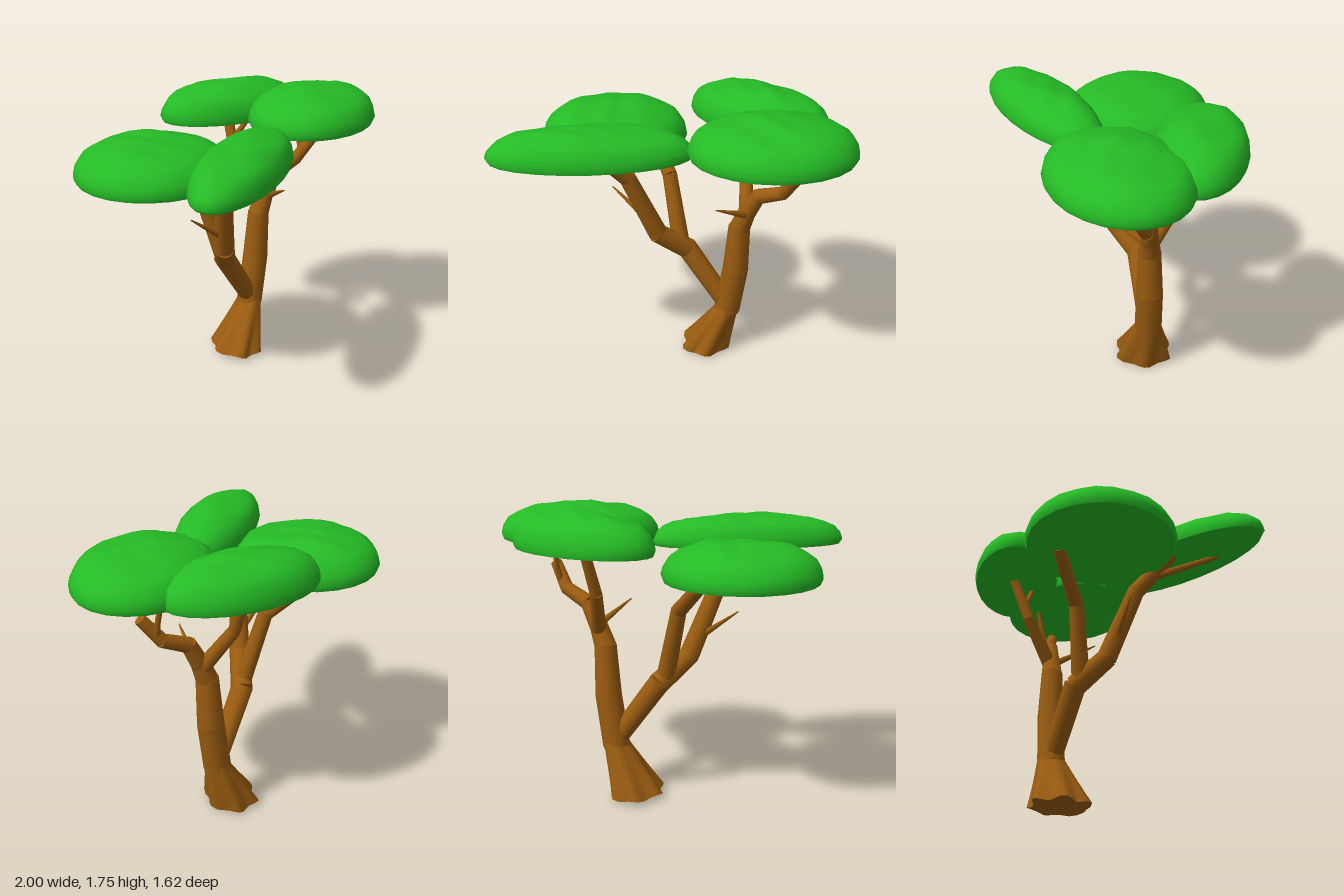
import * as THREE from 'three';
import { mergeVertices } from 'three/addons/utils/BufferGeometryUtils.js';

const bark = new THREE.MeshStandardMaterial({ color: 0x9a5c10 });
bark.name = 'bark brown';
const leaf = new THREE.MeshStandardMaterial({ color: 0x25bb25 });
leaf.name = 'leaf green';

const UP = new THREE.Vector3(0, 1, 0);

// Jointed limb: points are [x, y, z, radius], one tapered cylinder per span
function limb(name, points, sides = 12) {
  const group = new THREE.Group();
  group.name = name;
  for (let i = 0; i < points.length - 1; i++) {
    const [p, q] = [points[i], points[i + 1]];
    const a = new THREE.Vector3(p[0], p[1], p[2]);
    const b = new THREE.Vector3(q[0], q[1], q[2]);
    const dir = b.clone().sub(a);
    const length = dir.length();
    dir.normalize();
    const overlap = i < points.length - 2 ? q[3] * 0.25 : 0;
    const mesh = new THREE.Mesh(new THREE.CylinderGeometry(q[3], p[3], length + overlap, sides), bark);
    mesh.name = name + 'Segment' + (i + 1);
    mesh.position.copy(a).addScaledVector(dir, (length + overlap) / 2);
    mesh.quaternion.setFromUnitVectors(UP, dir);
    group.add(mesh);
  }
  return group;
}

// Flared, ribbed foot that leans into the trunk
function rootFlare() {
  const geo = new THREE.CylinderGeometry(1, 1, 1, 30, 4);
  const pos = geo.attributes.position;
  for (let i = 0; i < pos.count; i++) {
    const x = pos.getX(i), z = pos.getZ(i), t = pos.getY(i) + 0.5;
    const angle = Math.atan2(z, x), r = Math.hypot(x, z);
    const rib = 1 + 0.13 * (1 - t) * Math.cos(6 * angle + 0.6);
    const rx = THREE.MathUtils.lerp(0.145, 0.07, t) * rib;
    const rz = THREE.MathUtils.lerp(0.172, 0.083, t) * rib;
    const ragged = (1 - t) * (0.02 - 0.012 * x + 0.01 * r * Math.cos(6 * angle));
    pos.setXYZ(i, THREE.MathUtils.lerp(0.065, 0.2, t) + x * rx,
      t * 0.34 + ragged, THREE.MathUtils.lerp(-0.25, -0.285, t) + z * rz);
  }
  geo.computeVertexNormals();
  const mesh = new THREE.Mesh(geo, bark);
  mesh.name = 'rootFlare';
  return mesh;
}

// Bumpy flat-bottomed leaf dome; turn is the heading of its long axis
function canopy(name, x, y, z, rx, rz, height, turn, seed) {
  const group = new THREE.Group();
  group.name = name;
  const sides = 24;
  const profile = [[0.97, 0], [1, 0.14], [0.975, 0.34], [0.91, 0.56], [0.8, 0.72], [0.64, 0.83],
    [0.47, 0.9], [0.3, 0.95], [0.15, 0.97], [0, 0.98]].map(([r, h]) => new THREE.Vector2(r, h));
  let dome = new THREE.LatheGeometry(profile, sides);
  dome.deleteAttribute('normal');
  dome.deleteAttribute('uv');
  dome = mergeVertices(dome, 1e-4);
  const pos = dome.attributes.position;
  for (let i = 0; i < pos.count; i++) {
    const px = pos.getX(i), py = pos.getY(i), pz = pos.getZ(i);
    const bump = Math.sin(px * 5.3 + seed) * Math.cos(pz * 4.7 + seed * 2)
      + 0.6 * Math.sin(px * 11 - pz * 8 + seed * 3);
    pos.setXYZ(i, px * rx, (py + 0.06 * bump * py * py) * height, pz * rz);
  }
  dome.computeVertexNormals();
  const crown = new THREE.Mesh(dome, leaf);
  crown.name = name + 'Dome';

  const base = new THREE.Mesh(new THREE.CircleGeometry(0.97, sides), leaf);
  base.name = name + 'Underside';
  base.rotation.x = Math.PI / 2;
  base.scale.set(rx, rz, 1);

  group.add(crown, base);
  group.position.set(x, y, z);
  group.rotation.y = turn;
  return group;
}

export function createModel() {
  const tree = new THREE.Group();
  tree.name = 'tree';

  // Trunk and its crooked continuation to the left
  tree.add(rootFlare());
  tree.add(limb('trunk', [[0.195, 0.31, -0.285, 0.083], [0.245, 0.62, -0.29, 0.08],
    [0.265, 0.92, -0.285, 0.066], [0.325, 1.07, -0.285, 0.052]]));
  tree.add(limb('leftBranch', [[0.31, 1.03, -0.285, 0.055], [0.385, 1.17, -0.285, 0.047],
    [0.55, 1.24, -0.28, 0.04], [0.66, 1.38, -0.24, 0.034]]));
  tree.add(limb('leftTwig', [[0.585, 1.26, -0.28, 0.02], [0.595, 1.36, -0.31, 0.016], [0.585, 1.55, -0.35, 0.016]], 8));

  // Back branch
  tree.add(limb('backBranch', [[0.3, 1.02, -0.3, 0.045], [0.2, 1.27, -0.45, 0.036], [0.2, 1.56, -0.56, 0.03]]));
  tree.add(limb('backTwig', [[0.2, 1.37, -0.48, 0.02], [0.31, 1.55, -0.42, 0.014]], 8));
  tree.add(limb('trunkTwig', [[0.325, 1.05, -0.24, 0.022], [0.27, 1.16, -0.01, 0.004]], 8));

  // Right limb, forking to the front and to the side
  tree.add(limb('frontBranch', [[0.19, 0.36, -0.28, 0.06], [-0.05, 0.72, -0.19, 0.066],
    [-0.155, 0.87, -0.02, 0.06], [-0.255, 1.28, 0.14, 0.05], [-0.355, 1.5, 0.34, 0.04]]));
  tree.add(limb('frontTwig', [[-0.3, 1.36, 0.22, 0.024], [-0.4, 1.5, 0.62, 0.015]], 8));
  tree.add(limb('rightTwig', [[-0.2, 0.98, 0.03, 0.022], [-0.43, 1.15, 0.07, 0.004]], 8));
  tree.add(limb('rightBranch', [[-0.08, 0.76, -0.16, 0.055], [-0.2, 1.18, -0.21, 0.045],
    [-0.46, 1.4, -0.36, 0.037]]));

  // Leaf canopies
  tree.add(canopy('rightCanopy', -0.555, 1.38, -0.13, 0.445, 0.44, 0.22, 0, 1));
  tree.add(canopy('frontCanopy', -0.3, 1.49, 0.41, 0.585, 0.225, 0.185, 0.68, 2.3));
  tree.add(canopy('backCanopy', 0.22, 1.53, -0.54, 0.47, 0.265, 0.215, -0.06, 4.1));
  tree.add(canopy('leftCanopy', 0.555, 1.53, -0.13, 0.475, 0.38, 0.215, 0.61, 5.2));
  return tree;
}
